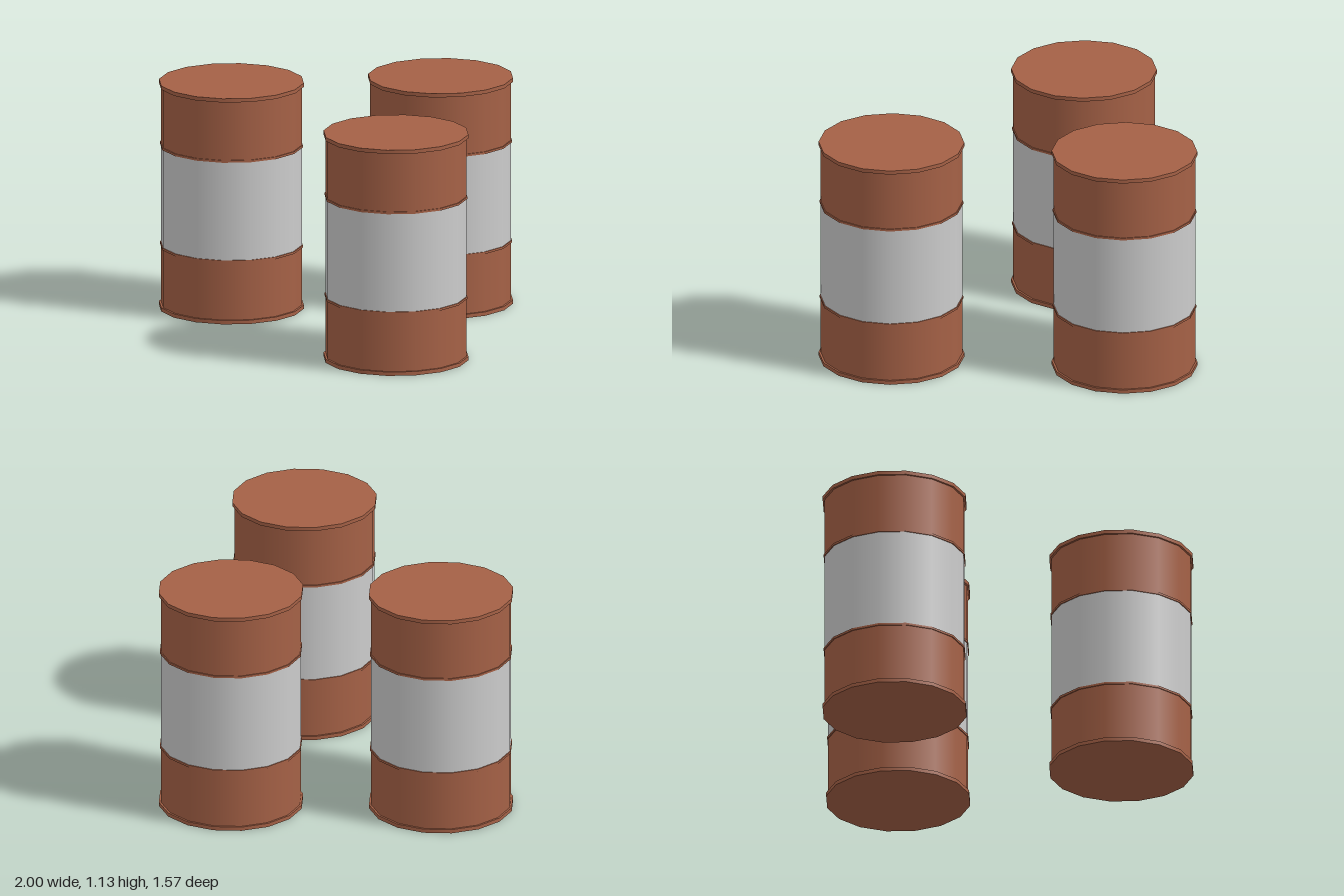
import * as THREE from 'three';

const SIDES = 16;
const BODY_R = 0.344, RING_R = 0.349, RIM_R = 0.354, HEIGHT = 1.13;

const rust = new THREE.MeshStandardMaterial({ color: 0xa56146 });
const grey = new THREE.MeshStandardMaterial({ color: 0xcccccc });

// Upright 16-sided drum section between two heights
function section(name, radius, y0, y1, material, open = false) {
  const geometry = new THREE.CylinderGeometry(radius, radius, y1 - y0, SIDES, 1, open);
  const mesh = new THREE.Mesh(geometry, material);
  mesh.name = name;
  mesh.position.y = (y0 + y1) / 2;
  return mesh;
}

function createBarrel(name, x, z) {
  const barrel = new THREE.Group();
  barrel.name = name;
  barrel.position.set(x, 0, z);
  barrel.add(
    // Painted wall in three bands
    section('lowerWall', BODY_R, 0.01, 0.318, rust, true),
    section('middleBand', BODY_R, 0.318, 0.808, grey, true),
    section('upperWall', BODY_R, 0.808, HEIGHT - 0.01, rust, true),
    // Raised hoops at the band edges
    section('lowerHoop', RING_R, 0.307, 0.318, rust),
    section('upperHoop', RING_R, 0.808, 0.819, rust),
    // End rims, closed by the flat base and lid
    section('bottomRim', RIM_R, 0, 0.019, rust),
    section('topRim', RIM_R, HEIGHT - 0.019, HEIGHT, rust)
  );
  return barrel;
}

export function createModel() {
  const model = new THREE.Group();
  model.name = 'barrels';
  model.add(
    createBarrel('frontLeftBarrel', 0.646, 0.43),
    createBarrel('frontRightBarrel', -0.646, 0.43),
    createBarrel('rearBarrel', -0.097, -0.43)
  );
  return model;
}
